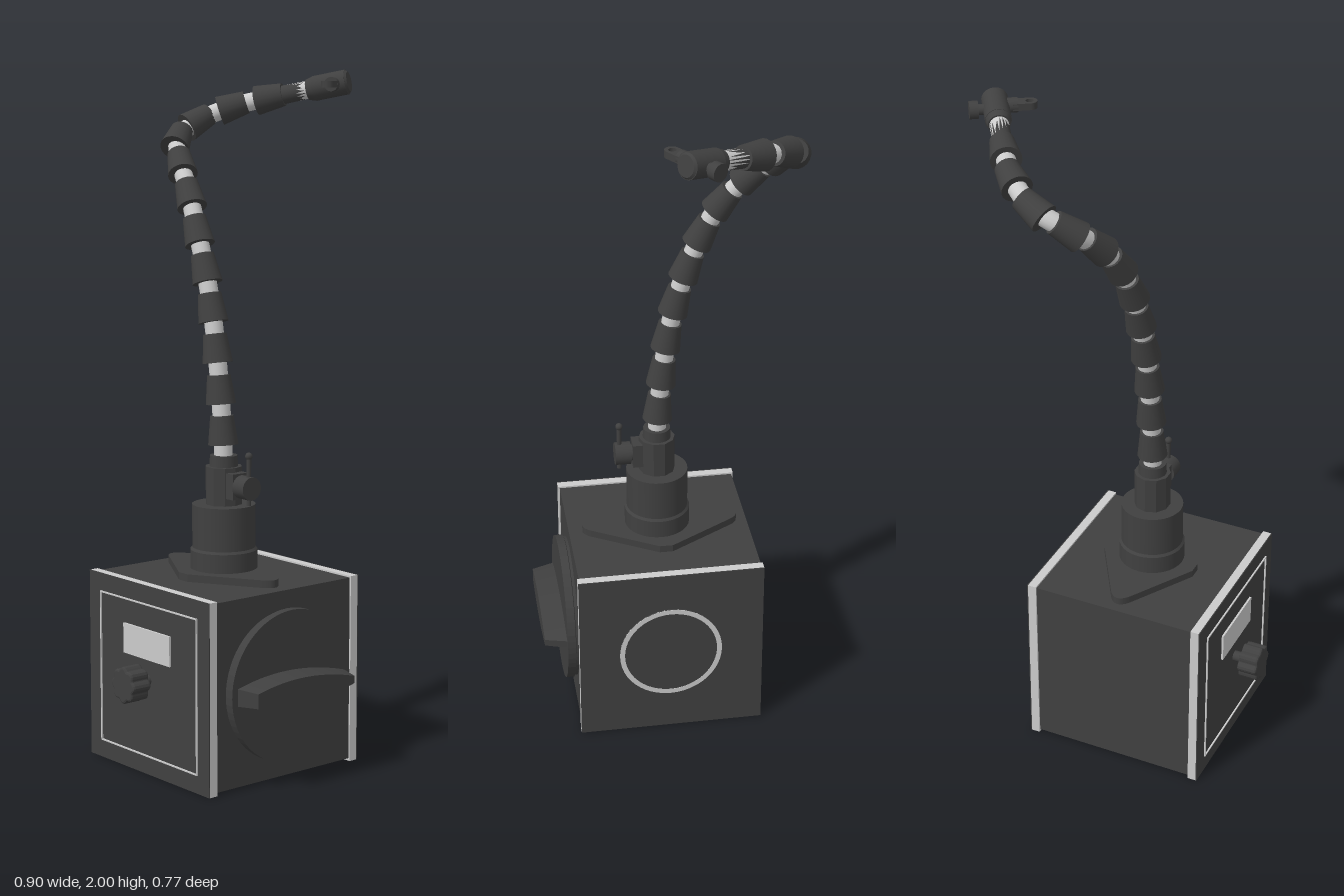
import * as THREE from 'three';

const dark = new THREE.MeshStandardMaterial({ color: 0x404040 });
const light = new THREE.MeshStandardMaterial({ color: 0xcccccc });
const V = (x, y, z) => new THREE.Vector3(x, y, z);
const UP = V(0, 1, 0);

export function createModel() {
  const root = new THREE.Group();
  const add = (name, geo, x = 0, y = 0, z = 0, mat = dark, parent = root) => {
    const m = new THREE.Mesh(geo, mat);
    m.name = name;
    m.position.set(x, y, z);
    parent.add(m);
    return m;
  };
  const cyl = (rTop, rBottom, h, n = 32) => new THREE.CylinderGeometry(rTop, rBottom, h, n);
  const box = (w, h, d) => new THREE.BoxGeometry(w, h, d);
  const extrude = (shape, depth, bevel = 0) => new THREE.ExtrudeGeometry(shape, {
    depth, bevelEnabled: bevel > 0, bevelSize: bevel, bevelThickness: bevel, bevelSegments: 2, curveSegments: 24,
  });
  // Cylinder or cone running from a to b
  const rod = (name, a, b, r0, r1, mat = dark, n = 20) => {
    const d = b.clone().sub(a);
    const c = a.clone().add(b).multiplyScalar(0.5);
    const m = add(name, cyl(r1, r0, d.length(), n), c.x, c.y, c.z, mat);
    m.quaternion.setFromUnitVectors(UP, d.normalize());
    return m;
  };

  // Magnet block with light side plates and dark facings
  add('magnetBlock', box(0.5, 0.542, 0.545), -0.08, 0.279, 0.0125);
  for (const s of [-1, 1]) {
    add('sidePlate', box(0.026, 0.555, 0.555), -0.08 + s * 0.263, 0.2775, 0.0125, light);
    add('plateFacing', box(0.003, 0.555, 0.555), -0.08 + s * 0.2775, 0.2775, 0.0125);
  }

  // Round badge with a light rim on the left side
  add('badgeDisc', cyl(0.155, 0.155, 0.004, 64), 0.201, 0.28, 0.015).rotation.z = Math.PI / 2;
  const rim = new THREE.Shape().absarc(0, 0, 0.155, 0, Math.PI * 2);
  rim.holes.push(new THREE.Path().absarc(0, 0, 0.14, 0, Math.PI * 2));
  add('badgeRing', extrude(rim, 0.003), 0.201, 0.28, 0.015, light).rotation.y = Math.PI / 2;

  // Right side: framed panel, label window and lobed knob
  for (const s of [-1, 1]) {
    add('panelFrame', box(0.005, 0.004, 0.45), -0.361, 0.278 + s * 0.223, 0.015, light);
    add('panelFrame', box(0.005, 0.45, 0.004), -0.361, 0.278, 0.015 + s * 0.223, light);
  }
  add('labelWindow', box(0.008, 0.088, 0.215), -0.361, 0.385, 0.0125, light);
  add('knobStem', cyl(0.016, 0.016, 0.05), -0.375, 0.28, 0.0125).rotation.z = Math.PI / 2;
  const lobes = new THREE.Shape();
  for (let i = 0; i <= 64; i++) {
    const a = i / 64 * Math.PI * 2, r = 0.044 + 0.004 * Math.cos(8 * a);
    lobes[i ? 'lineTo' : 'moveTo'](r * Math.cos(a), r * Math.sin(a));
  }
  add('sideKnob', extrude(lobes, 0.05, 0.006), -0.444, 0.28, 0.0125).rotation.y = Math.PI / 2;

  // Front rotary switch: flange and tapered lens-shaped grip
  const flange = new THREE.LatheGeometry(
    [[0, 0], [0.215, 0], [0.215, 0.008], [0.22, 0.01], [0.22, 0.034], [0.213, 0.034], [0, 0.034]]
      .map(([x, y]) => new THREE.Vector2(x, y)), 64).toNonIndexed();
  flange.computeVertexNormals();
  add('switchFlange', flange, -0.08, 0.28, 0.285).rotation.x = Math.PI / 2;
  const grip = new THREE.Shape();
  grip.moveTo(-0.2, -0.025);
  grip.quadraticCurveTo(-0.01, -0.075, 0.2, -0.012);
  grip.lineTo(0.2, 0.012);
  grip.quadraticCurveTo(-0.01, 0.075, -0.2, 0.025);
  const gripGeo = extrude(grip, 0.068);
  const gp = gripGeo.attributes.position;
  for (let i = 0; i < gp.count; i++) {
    if (gp.getZ(i) > 0.03) gp.setXY(i, gp.getX(i) * 0.9, gp.getY(i) * 0.85);
  }
  gripGeo.computeVertexNormals();
  add('switchGrip', gripGeo, -0.08, 0.28, 0.317);

  // Diamond mounting plate on top
  const plate = new THREE.Shape();
  plate.moveTo(-0.145, -0.02);
  plate.lineTo(-0.03, -0.215);
  plate.quadraticCurveTo(0, -0.258, 0.03, -0.215);
  plate.lineTo(0.145, -0.02);
  plate.lineTo(0.145, 0.02);
  plate.lineTo(0.03, 0.215);
  plate.quadraticCurveTo(0, 0.258, -0.03, 0.215);
  plate.lineTo(-0.145, 0.02);
  add('mountPlate', extrude(plate, 0.024), -0.08, 0.548, 0.0075).rotation.x = -Math.PI / 2;

  // Stepped post
  const cx = -0.08, cz = 0.015;
  add('postFlange', cyl(0.098, 0.098, 0.055), cx, 0.5995, cz);
  add('postBevel', cyl(0.091, 0.098, 0.008), cx, 0.631, cz);
  add('postBody', cyl(0.092, 0.092, 0.126), cx, 0.697, cz);
  const hex = add('clampCollar', cyl(0.054, 0.054, 0.112, 10).toNonIndexed(), cx, 0.815, cz);
  hex.geometry.computeVertexNormals();
  add('clampNeck', cyl(0.04, 0.042, 0.035), cx, 0.885, cz);

  // Clamp screw with its lever
  add('clampEars', box(0.056, 0.075, 0.05), cx, 0.82, 0.065);
  rod('clampStem', V(cx, 0.82, 0.06), V(cx, 0.82, 0.105), 0.025, 0.025);
  rod('clampScrew', V(cx, 0.82, 0.095), V(cx, 0.82, 0.142), 0.034, 0.034);
  rod('clampLever', V(cx, 0.77, 0.128), V(cx, 0.91, 0.128), 0.007, 0.007);
  add('leverTip', new THREE.SphereGeometry(0.011, 12, 8), cx, 0.913, 0.128);

  // Flexible arm: light core with tapered dark segments strung along it
  const centres = [
    [-0.08, 0.975, 0.01], [-0.08, 1.092, -0.002], [-0.08, 1.21, -0.018], [-0.078, 1.325, -0.042],
    [-0.075, 1.436, -0.075], [-0.07, 1.542, -0.117], [-0.055, 1.643, -0.172], [-0.028, 1.73, -0.245],
    [0.02, 1.8, -0.318], [0.11, 1.852, -0.337], [0.2, 1.895, -0.28], [0.27, 1.922, -0.19],
  ].map(p => V(...p));
  const wrist = V(0.335, 1.945, -0.093);
  const path = new THREE.CatmullRomCurve3([V(cx, 0.88, cz), ...centres, wrist]);
  add('armCore', new THREE.TubeGeometry(path, 120, 0.027, 16), 0, 0, 0, light);
  centres.forEach((c, i) => {
    const t = path.getTangent((i + 1) / (centres.length + 1)).multiplyScalar(0.042);
    rod('armSegment', c.clone().sub(t), c.clone().add(t), 0.044, 0.034);
  });

  // Wrist and head cylinder
  const dir = wrist.clone().sub(centres[11]).normalize();
  const at = d => wrist.clone().addScaledVector(dir, d);
  rod('wristLink', at(-0.09), at(0.03), 0.028, 0.026);
  rod('headCollar', at(0.0), at(0.025), 0.031, 0.037);
  rod('headBody', at(0.02), at(0.122), 0.037, 0.037);
  rod('headCap', at(0.12), at(0.128), 0.037, 0.03);

  // Cross screw on one side, lug with an eye on the other
  const side = V(dir.z, 0, -dir.x).normalize();
  const mid = at(0.075);
  const out = d => mid.clone().addScaledVector(side, d);
  rod('headScrewStem', out(0.02), out(0.055), 0.015, 0.015);
  rod('headScrew', out(0.05), out(0.075), 0.025, 0.025);
  const head = out(0).addScaledVector(dir, 0.012);
  rod('lugStem', head, head.clone().addScaledVector(side, -0.06), 0.021, 0.021);
  const lug = new THREE.Shape();
  lug.moveTo(0, -0.02);
  lug.lineTo(0.05, -0.02);
  lug.absarc(0.05, 0, 0.02, -Math.PI / 2, Math.PI / 2);
  lug.lineTo(0, 0.02);
  lug.holes.push(new THREE.Path().absarc(0.048, 0, 0.011, 0, Math.PI * 2));
  const lugMesh = add('lug', extrude(lug, 0.02));
  lugMesh.geometry.translate(0, 0, -0.01);
  lugMesh.position.copy(head).addScaledVector(side, -0.045);
  const lx = side.clone().negate();
  lugMesh.quaternion.setFromRotationMatrix(
    new THREE.Matrix4().makeBasis(lx, UP.clone().cross(lx), UP));
  return root;
}
